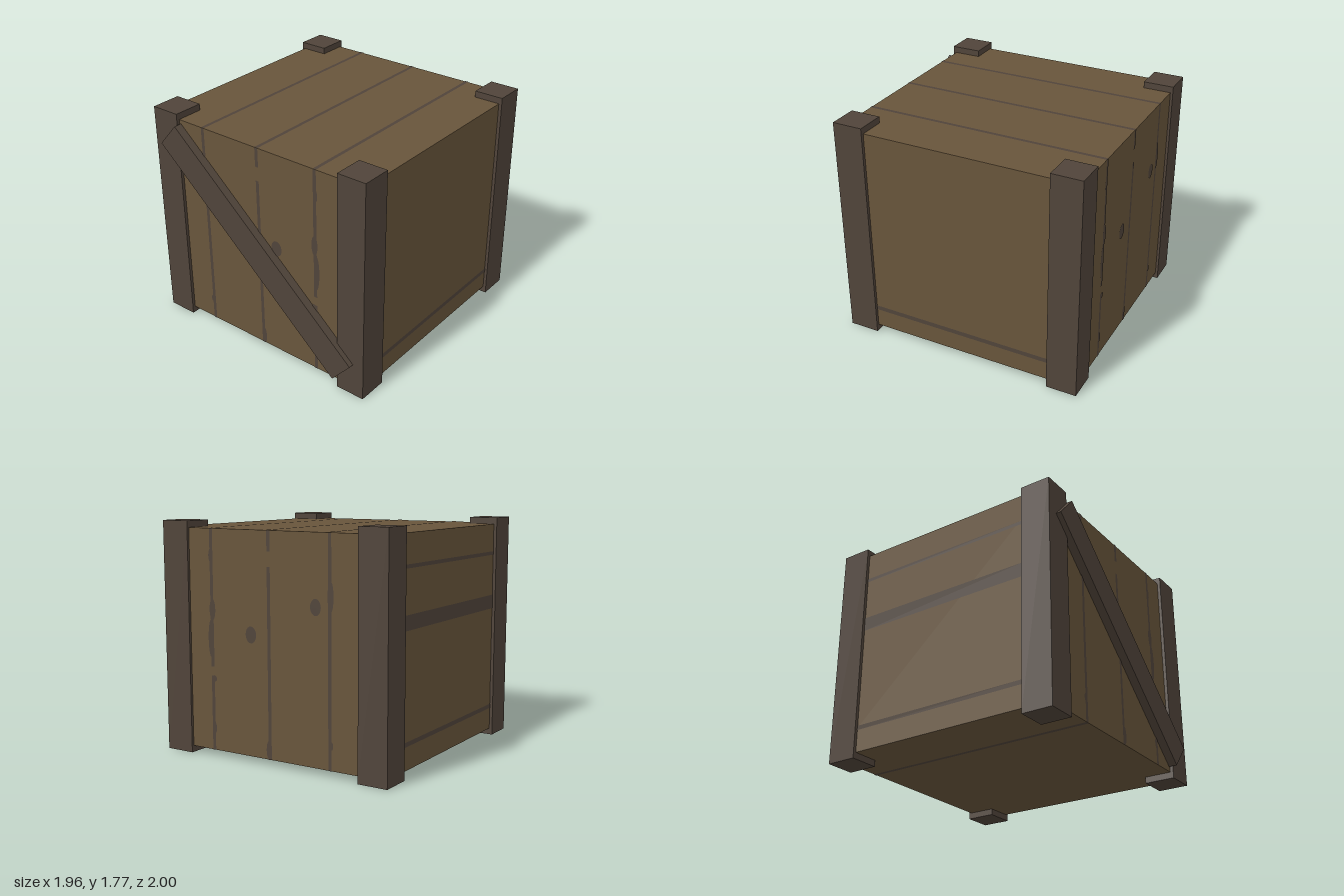
import * as THREE from 'three';

export function createModel() {
  const crate = new THREE.Group();
  crate.name = 'crate';

  const panelWood = new THREE.MeshStandardMaterial({ color: 0x68553b });
  panelWood.name = 'panelWood';
  const darkWood = new THREE.MeshStandardMaterial({ color: 0x50443a });
  darkWood.name = 'darkWood';

  const body = { x: 0.955, bottom: 0.05, top: 1.72, back: -0.98, front: 0.935 };
  const midZ = (body.back + body.front) / 2;
  const midY = (body.bottom + body.top) / 2;
  const lift = 0.003;

  function add(parent, name, geometry, material, x, y, z) {
    const mesh = new THREE.Mesh(geometry, material);
    mesh.name = name;
    mesh.position.set(x, y, z);
    parent.add(mesh);
    return mesh;
  }

  // Closed box body
  add(crate, 'body',
    new THREE.BoxGeometry(body.x * 2, body.top - body.bottom, body.front - body.back),
    panelWood, 0, midY, midZ);

  // Four corner posts
  for (const x of [-0.8625, 0.8625]) {
    for (const z of [-0.88, 0.84]) {
      add(crate, 'cornerPost', new THREE.BoxGeometry(0.235, 1.77, 0.24), darkWood, x, 0.885, z);
    }
  }

  // Diagonal brace across the front
  const brace = add(crate, 'diagonalBrace', new THREE.BoxGeometry(2.155, 0.24, 0.07),
    darkWood, 0, 0.89, 0.965);
  brace.rotation.z = Math.atan2(-1.42, 1.62);

  // Painted seams and knots of the front and back: [x, bottom, top]
  const seams = [
    [-0.507, 0.05, 1.72],
    [0.013, 0.05, 1.46], [0.013, 1.57, 1.72],
    [0.535, 0.05, 0.62], [0.535, 0.69, 1.72],
  ];
  // Swellings on the seams and loose knots: [x, y, width, height]
  const knots = [
    [0.175, 0.96, 0.095, 0.125], [-0.39, 1.2, 0.09, 0.12],
    [0.53, 1.12, 0.055, 0.16], [0.547, 0.9, 0.05, 0.28], [0.542, 1.52, 0.035, 0.1],
    [0.522, 0.6, 0.045, 0.05], [0.525, 0.22, 0.035, 0.08],
    [0.022, 0.12, 0.045, 0.14], [-0.515, 1.28, 0.05, 0.22], [-0.52, 0.23, 0.03, 0.06],
  ];

  function grain(name, z, side) {
    const group = new THREE.Group();
    group.name = name;
    group.position.z = z;
    group.rotation.y = side > 0 ? 0 : Math.PI;
    for (const [x, y0, y1] of seams) {
      add(group, 'plankSeam', new THREE.PlaneGeometry(0.028, y1 - y0), darkWood,
        x * side, (y0 + y1) / 2, 0);
    }
    for (const [x, y, w, h] of knots) {
      const knot = add(group, 'woodKnot', new THREE.CircleGeometry(0.5, 20), darkWood,
        x * side, y, 0.001);
      knot.scale.set(w, h, 1);
    }
    crate.add(group);
  }
  grain('frontGrain', body.front + lift, 1);
  grain('backGrain', body.back - lift, -1);

  // Seams running front to back on the top and bottom
  const depth = body.front - body.back;
  for (const x of [-0.507, 0.013, 0.535]) {
    const seam = add(crate, 'topSeam', new THREE.PlaneGeometry(0.028, depth), darkWood,
      x, body.top + lift, midZ);
    seam.rotation.x = -Math.PI / 2;
  }
  const bottomSeam = add(crate, 'bottomSeam', new THREE.PlaneGeometry(0.03, depth), darkWood,
    -0.5, body.bottom - lift, midZ);
  bottomSeam.rotation.x = Math.PI / 2;

  // Horizontal seams on the two sides: [side, y, height]
  for (const [side, y, h] of [[1, 0.217, 0.036], [-1, 1.49, 0.028], [-1, 1.1, 0.11], [-1, 0.24, 0.034]]) {
    const seam = add(crate, 'sideSeam', new THREE.PlaneGeometry(1.48, h), darkWood,
      side * (body.x + lift), y, -0.02);
    seam.rotation.y = side * Math.PI / 2;
  }

  return crate;
}
